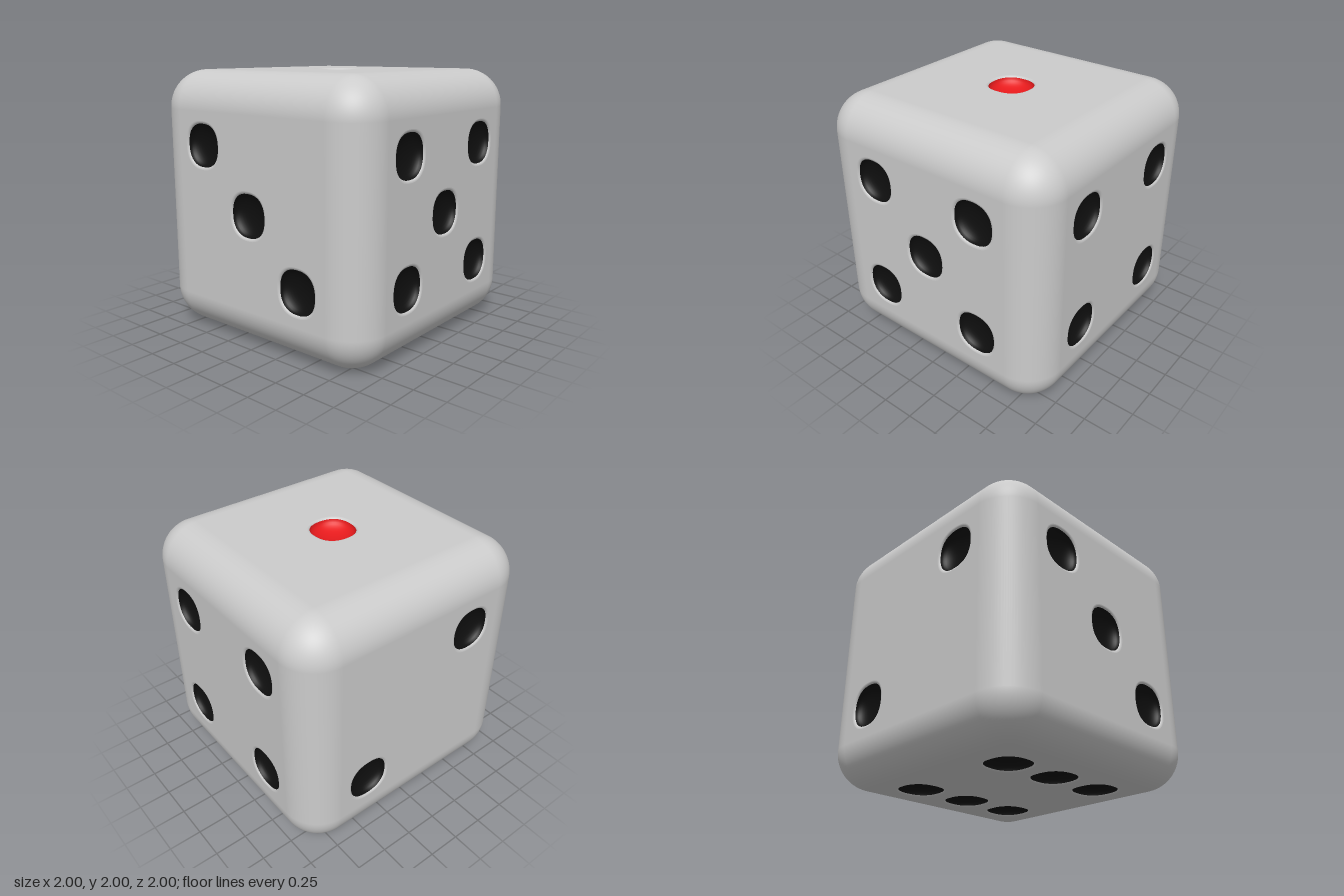
import * as THREE from 'three';
import { RoundedBoxGeometry } from 'three/addons/geometries/RoundedBoxGeometry.js';

const RADIUS = 0.29;       // rounding of the cube's edges
const FLAT = 1 - RADIUS;   // half width of each flat face
const PIP = 0.16;          // pip radius
const RIM = 0.18;          // outer radius of the softened pip rim
const DEPTH = 0.09;
const STEP = 0.46;         // pip spacing
const SIDES = 48;

const grey = new THREE.MeshStandardMaterial({ color: 0xcccccc });
const black = new THREE.MeshStandardMaterial({ color: 0x0e0e0e });
const red = new THREE.MeshStandardMaterial({ color: 0xe61a1c });

// Slightly squared circle: factor on the radius at angle a
const squareness = (a) =>
  (Math.abs(Math.cos(a)) ** 2.4 + Math.abs(Math.sin(a)) ** 2.4) ** (-1 / 2.4);

// Lathe whose outline is squared off, opening towards +z
function squaredLathe(points) {
  const geo = new THREE.LatheGeometry(points, SIDES);
  geo.rotateX(Math.PI / 2);
  const p = geo.attributes.position;
  for (let i = 0; i < p.count; i++) {
    const f = squareness(Math.atan2(p.getY(i), p.getX(i)));
    p.setXY(i, p.getX(i) * f, p.getY(i) * f);
  }
  return geo;
}

// Rounded edges and corners: a rounded box without its flat faces
function edgeGeometry() {
  const box = new RoundedBoxGeometry(2, 2, 2, 10, RADIUS);
  const p = box.attributes.position, n = box.attributes.normal;
  const pos = [], nor = [];
  for (let i = 0; i < p.count; i += 3) {
    const onFace = ['getX', 'getY', 'getZ'].some((get) =>
      [1, -1].some((s) => [0, 1, 2].every((k) => p[get](i + k) * s > 1 - 1e-5)));
    if (onFace) continue;
    for (let k = i; k < i + 3; k++) {
      pos.push(p.getX(k), p.getY(k), p.getZ(k));
      nor.push(n.getX(k), n.getY(k), n.getZ(k));
    }
  }
  const geo = new THREE.BufferGeometry();
  geo.setAttribute('position', new THREE.Float32BufferAttribute(pos, 3));
  geo.setAttribute('normal', new THREE.Float32BufferAttribute(nor, 3));
  return geo;
}

// Flat face with a hole for each pip
function faceGeometry(pips) {
  const shape = new THREE.Shape([[-1, -1], [1, -1], [1, 1], [-1, 1]]
    .map(([x, y]) => new THREE.Vector2(x * FLAT, y * FLAT)));
  for (const [x, y] of pips) {
    const ring = [];
    for (let i = 0; i < SIDES; i++) {
      const a = -i / SIDES * Math.PI * 2, r = RIM * squareness(a);
      ring.push(new THREE.Vector2(x * STEP + r * Math.cos(a), y * STEP + r * Math.sin(a)));
    }
    shape.holes.push(new THREE.Path(ring));
  }
  return new THREE.ShapeGeometry(shape);
}

export function createModel() {
  const model = new THREE.Group();
  model.name = 'die';
  const add = (parent, name, geo, mat) => {
    const mesh = new THREE.Mesh(geo, mat);
    mesh.name = name;
    parent.add(mesh);
    return mesh;
  };

  // Rim rolls from the face into the pip
  const rimPoints = [], bowlPoints = [];
  for (let i = 0; i <= 4; i++) {
    const a = i / 4 * Math.PI / 3;
    rimPoints.push(new THREE.Vector2(
      RIM - (RIM - PIP) * Math.sin(a) / Math.sin(Math.PI / 3),
      -0.022 * (1 - Math.cos(a))));
  }
  // Bowl is a shallow rounded dish
  for (let i = 0; i <= 10; i++) {
    const a = i / 10 * Math.PI / 2;
    bowlPoints.push(new THREE.Vector2(
      i === 10 ? 0 : PIP * Math.cos(a),
      -0.011 - (DEPTH - 0.011) * Math.sin(a)));
  }
  const rimGeo = squaredLathe(rimPoints);
  const bowlGeo = squaredLathe(bowlPoints);

  const corners = [[-1, -1], [1, -1], [1, 1], [-1, 1]];
  const q = Math.PI / 2;
  // name, rotation about x, rotation about y, pip positions in steps
  const faces = [
    ['front', 0, 0, [...corners, [0, 0]]],
    ['right', 0, q, corners],
    ['back', 0, 2 * q, [[1, 1], [-1, -1]]],
    ['left', 0, -q, [[-1, 1], [0, 0], [1, -1]]],
    ['top', -q, 0, [[0, 0]]],
    ['bottom', q, 0, [...corners, [-1, 0], [1, 0]]],
  ];

  const body = new THREE.Group();
  body.name = 'body';
  body.position.y = 1;
  model.add(body);
  add(body, 'roundedEdges', edgeGeometry(), grey);

  for (const [name, rx, ry, pips] of faces) {
    const side = new THREE.Group();
    side.name = name + 'Side';
    side.rotation.set(rx, ry, 0);
    body.add(side);
    add(side, name + 'Face', faceGeometry(pips), grey).position.z = 1;
    for (const [x, y] of pips) {
      add(side, 'pipRim', rimGeo, grey).position.set(x * STEP, y * STEP, 1);
      add(side, 'pip', bowlGeo, name === 'top' ? red : black).position.set(x * STEP, y * STEP, 1);
    }
  }
  return model;
}
